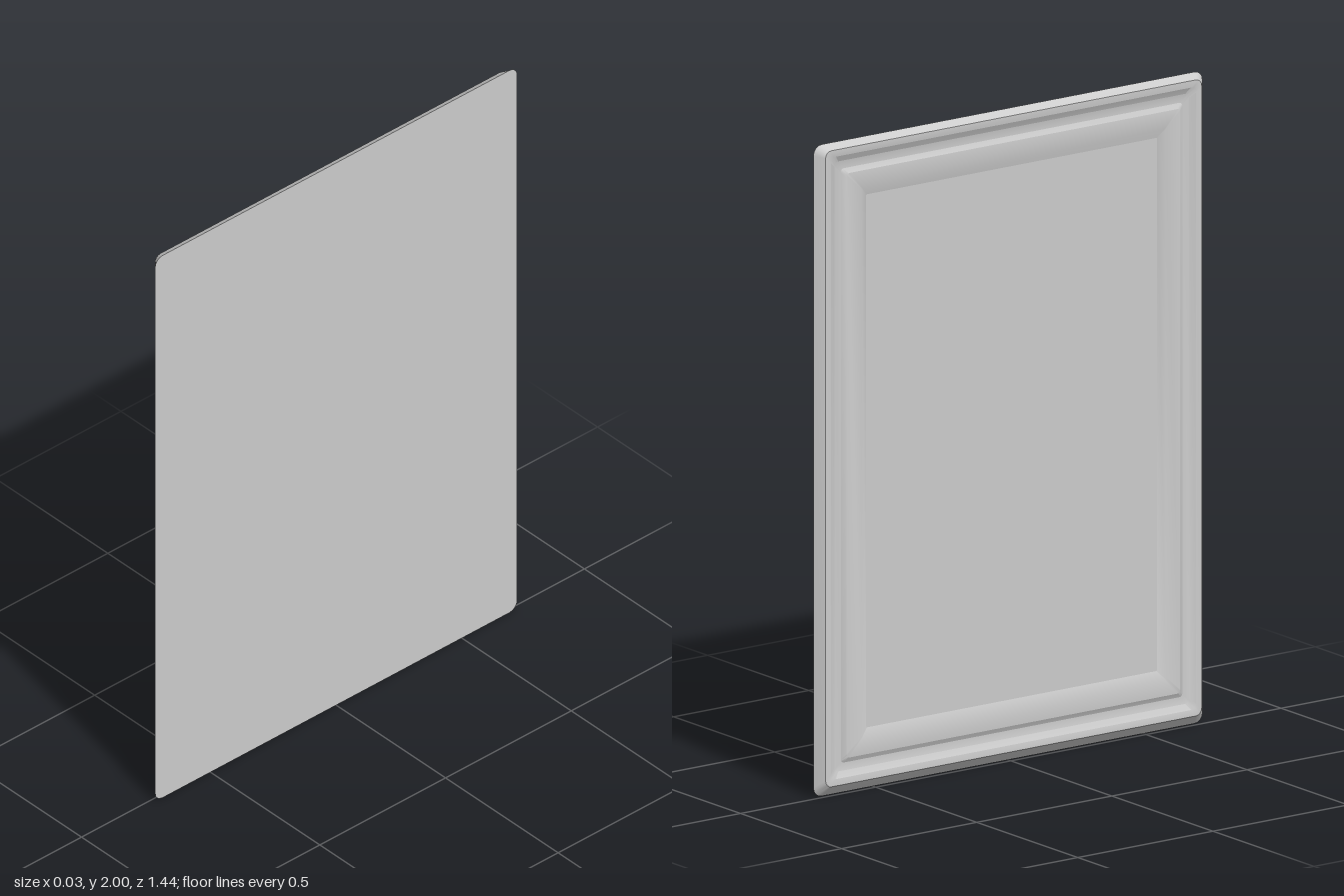
import * as THREE from 'three';
import { toCreasedNormals } from 'three/addons/utils/BufferGeometryUtils.js';

const HALF_Z = 0.72, HALF_Y = 1, CORNER_STEPS = 4;

// Rounded rectangle in the zy plane, counter-clockwise seen from -x
function ring([inset, x, radius, lift = 0.008]) {
  const points = [];
  const cz = HALF_Z - inset - radius, cy = HALF_Y - inset - radius;
  const corners = [[1, 1], [-1, 1], [-1, -1], [1, -1]];
  corners.forEach(([sz, sy], k) => {
    for (let i = 0; i <= CORNER_STEPS; i++) {
      const a = (k + i / CORNER_STEPS) * Math.PI / 2;
      points.push([x, 1 + lift + sy * cy + radius * Math.sin(a), sz * cz + radius * Math.cos(a)]);
    }
  });
  return points;
}

function toMesh(name, positions, material) {
  const geometry = new THREE.BufferGeometry();
  geometry.setAttribute('position', new THREE.Float32BufferAttribute(positions.flat(), 3));
  const mesh = new THREE.Mesh(toCreasedNormals(geometry, 0.45), material);
  mesh.name = name;
  return mesh;
}

// Strips joining successive rings of a moulding profile
function moulding(name, profile, material) {
  const rings = profile.map(ring), positions = [];
  for (let r = 0; r < rings.length - 1; r++) {
    const a = rings[r], b = rings[r + 1];
    a.forEach((p, i) => {
      const j = (i + 1) % a.length;
      positions.push(p, a[j], b[j], p, b[j], b[i]);
    });
  }
  return toMesh(name, positions, material);
}

// Flat fill of one ring, facing -x or (reversed) +x
function plate(name, section, reversed, material) {
  const points = ring(section), positions = [];
  const centre = [section[1], 1, 0];
  points.forEach((p, i) => {
    const q = points[(i + 1) % points.length];
    positions.push(centre, ...(reversed ? [q, p] : [p, q]));
  });
  return toMesh(name, positions, material);
}

export function createModel() {
  const group = new THREE.Group();
  group.name = 'framedPanel';
  const material = new THREE.MeshStandardMaterial({ color: 0xcccccc });

  // Each section: inset from the outer edge, x, corner radius, vertical shift
  const back = [0, 0.014, 0.03, 0];
  const grooveFloor = [0.088, -0.004, 0.012];
  const panelEdge = [0.182, -0.004, 0.003];

  // Bevelled outer rim, flat face and step down into the groove
  group.add(moulding('outerFrame', [
    back, [0.024, -0.014, 0.022], [0.045, -0.014, 0.018],
    [0.064, -0.004, 0.014], grooveFloor,
  ], material));

  // Raised inner border sloping down to the panel
  group.add(moulding('innerFrame', [
    grooveFloor, [0.103, -0.013, 0.012], [0.157, -0.013, 0.004], panelEdge,
  ], material));

  group.add(plate('recessedPanel', panelEdge, false, material));
  group.add(plate('backing', back, true, material));
  return group;
}
